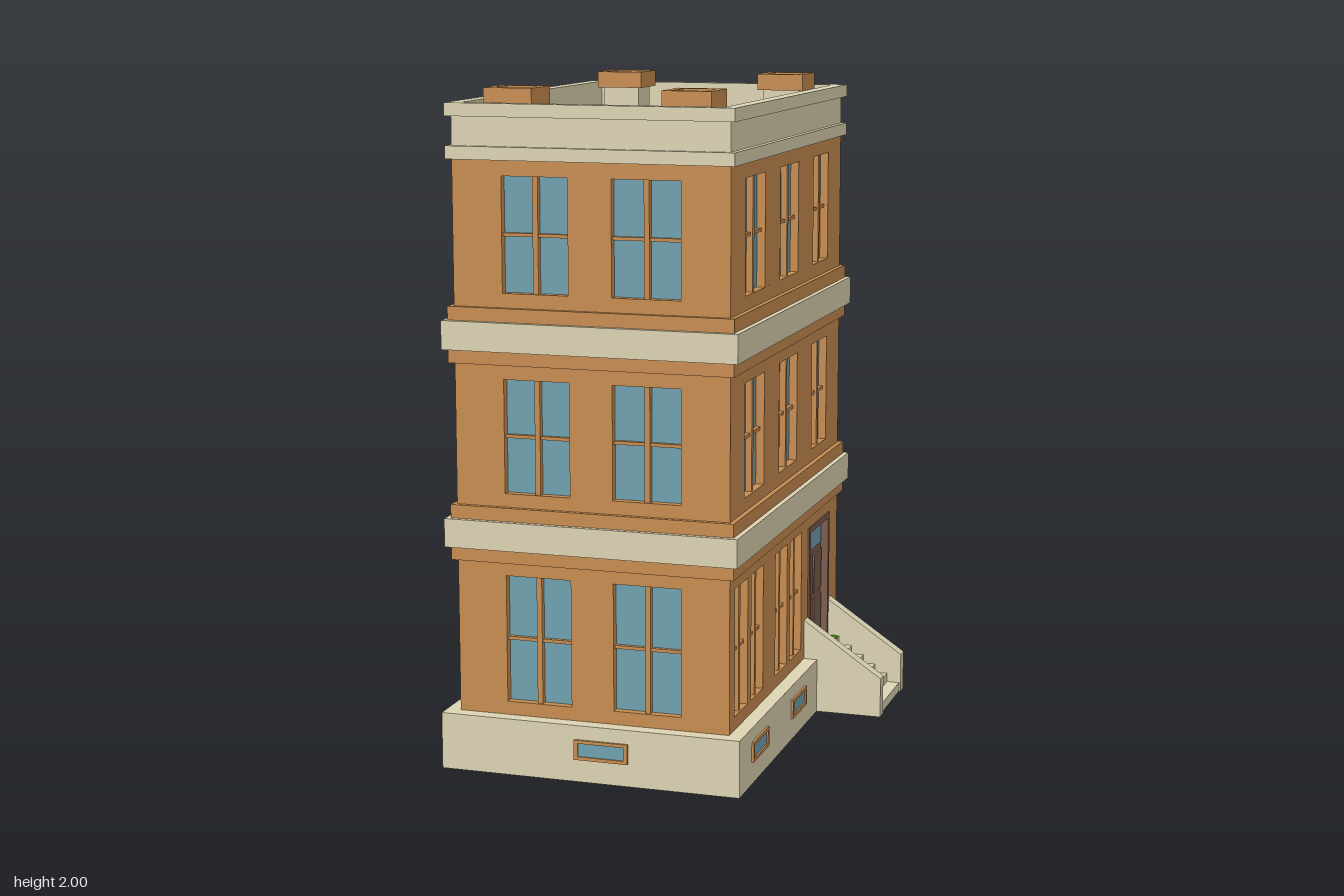
import * as THREE from 'three';

const mat = (color) => new THREE.MeshStandardMaterial({ color });
const BRICK = mat(0xc68c50), CREAM = mat(0xdcd3b2), GLASS = mat(0x6fa0ae);
const WOOD = mat(0x7d5c4d), GREEN = mat(0x4f8f1c);

// Body: half width, half length, centre x; RECESS is the depth of the window reveals
const HX = 0.415, HZ = 0.62, CX = -0.105, RECESS = 0.03, PLINTH = 0.043;

function add(parent, name, geometry, material, x = 0, y = 0, z = 0) {
  const mesh = new THREE.Mesh(geometry, material);
  mesh.name = name;
  mesh.position.set(x, y, z);
  parent.add(mesh);
  return mesh;
}

// Box given by its limits
function block(parent, name, material, x0, x1, y0, y1, z0, z1) {
  return add(parent, name, new THREE.BoxGeometry(x1 - x0, y1 - y0, z1 - z0), material,
    (x0 + x1) / 2, (y0 + y1) / 2, (z0 + z1) / 2);
}

const corners = (x0, x1, y0, y1) =>
  [[x0, y0], [x1, y0], [x1, y1], [x0, y1]].map(([x, y]) => new THREE.Vector2(x, y));

// Flat plate with rectangular holes, extruded along z
function plate(outer, holes, depth) {
  const shape = new THREE.Shape(corners(...outer));
  for (const h of holes) shape.holes.push(new THREE.Path(corners(...h).reverse()));
  return new THREE.ExtrudeGeometry(shape, { depth, bevelEnabled: false });
}

// Horizontal rectangular ring
function ring(parent, name, material, hx, hz, ix, iz, y0, y1) {
  const g = plate([-hx, hx, -hz, hz], [[-ix, ix, -iz, iz]], y1 - y0).rotateX(-Math.PI / 2);
  return add(parent, name, g, material, 0, y0, 0);
}

// Recessed glazing with a mullion and a transom
function windowUnit(parent, [u0, u1, y0, y1]) {
  const g = new THREE.Group();
  g.name = 'window';
  const u = (u0 + u1) / 2, y = y0 + (y1 - y0) * 0.5;
  block(g, 'glass', GLASS, u0, u1, y0, y1, -RECESS - 0.004, -RECESS + 0.005);
  block(g, 'mullion', BRICK, u - 0.008, u + 0.008, y0, y1, -RECESS, -0.006);
  block(g, 'transom', BRICK, u0, u1, y - 0.005, y + 0.005, -RECESS, -0.012);
  parent.add(g);
}

// Small framed window on the plinth
function basementWindow(parent, u) {
  const g = new THREE.Group();
  g.name = 'basementWindow';
  add(g, 'basementFrame', plate([u - 0.082, u + 0.082, 0.068, 0.128],
    [[u - 0.07, u + 0.07, 0.078, 0.118]], 0.012), BRICK, 0, 0, PLINTH - 0.005);
  block(g, 'basementGlass', GLASS, u - 0.072, u + 0.072, 0.076, 0.12, PLINTH - 0.004, PLINTH + 0.002);
  parent.add(g);
}

// One wall in its own frame: u to the right, outward along +z
function facade(parent, name, half, windows, basement, extraHoles = []) {
  const g = new THREE.Group();
  g.name = name;
  add(g, 'brickWall', plate([-half, half, 0.15, 1.81], [...windows, ...extraHoles], RECESS),
    BRICK, 0, 0, -RECESS);
  windows.forEach((w) => windowUnit(g, w));
  basement.forEach((u) => basementWindow(g, u));
  parent.add(g);
  return g;
}

function frontDoor(parent, [u0, u1, y0, y1]) {
  const g = new THREE.Group();
  g.name = 'frontDoor';
  const u = (u0 + u1) / 2, f = 0.018;
  add(g, 'doorFrame', plate([u0, u1, y0, y1], [[u0 + f, u1 - f, y0 + 0.005, y1 - f]], RECESS + 0.005),
    WOOD, 0, 0, -RECESS);
  block(g, 'doorLeaf', WOOD, u0 + f, u1 - f, y0, y1 - f, -RECESS - 0.004, -0.02);
  block(g, 'doorLight', GLASS, u0 + 0.027, u1 - 0.027, 0.49, 0.56, -0.024, -0.016);
  // Raised panels, two by two
  for (const [a, b] of [[u0 + 0.03, u - 0.008], [u + 0.008, u1 - 0.03]])
    for (const [c, d] of [[0.19, 0.32], [0.34, 0.47]])
      block(g, 'doorPanel', WOOD, a, b, c, d, -0.024, -0.014);
  parent.add(g);
}

function stairs(parent) {
  const g = new THREE.Group();
  g.name = 'entranceStairs';
  const wall = new THREE.Shape([[0.305, 0], [0.56, 0], [0.56, 0.125], [0.31, 0.295], [0.305, 0.295]]
    .map(([x, y]) => new THREE.Vector2(x, y)));
  for (const z of [-0.54, -0.25])
    add(g, 'stairWall', new THREE.ExtrudeGeometry(wall, { depth: 0.04, bevelEnabled: false }), CREAM, 0, 0, z);
  for (let i = 0; i < 5; i++)
    block(g, 'step', CREAM, 0.33, 0.395 + i * 0.04, i === 4 ? 0 : 0.114 - i * 0.028,
      0.142 - i * 0.028, -0.505, -0.245);
  block(g, 'doorMat', GREEN, 0.312, 0.35, 0.168, 0.176, -0.485, -0.27);
  parent.add(g);
}

export function createModel() {
  const model = new THREE.Group();
  model.name = 'townHouse';
  const house = new THREE.Group();
  house.name = 'house';
  house.position.x = CX;
  model.add(house);

  // Centred box by half sizes
  const slab = (name, m, out, y0, y1) =>
    block(house, name, m, -HX - out, HX + out, y0, y1, -HZ - out, HZ + out);

  slab('plinth', CREAM, PLINTH, 0, 0.17);
  slab('core', BRICK, -RECESS, 0.16, 1.81);

  // Window rows: ground, first and second floor
  const rows = [[0.21, 0.59], [0.835, 1.17], [1.42, 1.755]];
  const grid = (spans, floors) => floors.flatMap((f) => spans.map(([a, b]) => [a, b, ...rows[f]]));
  const flip = (spans) => spans.map(([a, b]) => [-b, -a]);
  const frontSpans = [[-0.265, -0.065], [0.065, 0.27]];
  const sideSpans = [[-0.475, -0.27], [-0.105, 0.10], [0.28, 0.46]];
  const narrow = [[-0.567, -0.435], [-0.398, -0.27], [-0.133, 0], [0.035, 0.17]];
  const door = [0.25, 0.505, 0.17, 0.585];

  const front = facade(house, 'frontFacade', HX, grid(frontSpans, [0, 1, 2]), [0.04]);
  front.position.z = HZ;

  const backSpans = flip(frontSpans);
  const back = facade(house, 'backFacade', HX,
    [...grid([backSpans[0]], [0]), ...grid(backSpans, [1, 2])], [-0.04]);
  back.position.z = -HZ;
  back.rotation.y = Math.PI;

  const right = facade(house, 'entranceFacade', HZ - RECESS,
    [...grid(narrow, [0]), ...grid(sideSpans, [1, 2])], [-0.455, -0.02], [door]);
  right.position.x = HX;
  right.rotation.y = Math.PI / 2;
  frontDoor(right, door);

  const left = facade(house, 'sideFacade', HZ - RECESS,
    grid(flip(sideSpans), [0, 1, 2]), [-0.46, 0.015, 0.455]);
  left.position.x = -HX;
  left.rotation.y = -Math.PI / 2;

  // Floor bands: cream course between two brick ledges
  for (const y of [0.63, 1.213]) {
    slab('lowerLedge', BRICK, 0.015, y, y + 0.04);
    slab('creamBand', CREAM, 0.03, y + 0.04, y + 0.125);
    slab('upperLedge', BRICK, 0.015, y + 0.125, y + 0.165);
  }

  // Cornice, parapet and roof
  slab('cornice', CREAM, 0.015, 1.8, 1.838);
  const ix = 0.39, iz = 0.597;
  ring(house, 'parapet', CREAM, HX, HZ, ix, iz, 1.837, 1.922);
  ring(house, 'coping', CREAM, HX + 0.015, HZ + 0.015, ix, iz, 1.922, 1.96);
  block(house, 'roof', BRICK, -ix, ix, 1.82, 1.845, -iz, iz);

  // Four chimneys
  for (const x of [-0.265, 0.268]) for (const z of [-0.488, 0.488]) {
    const c = new THREE.Group();
    c.name = 'chimney';
    c.position.set(x, 0, z);
    block(c, 'chimneyStack', CREAM, -0.058, 0.058, 1.84, 1.955, -0.058, 0.058);
    ring(c, 'chimneyCap', BRICK, 0.073, 0.075, 0.05, 0.054, 1.95, 2.0);
    block(c, 'chimneyTop', CREAM, -0.05, 0.05, 1.95, 1.993, -0.054, 0.054);
    house.add(c);
  }

  stairs(model);
  return model;
}
